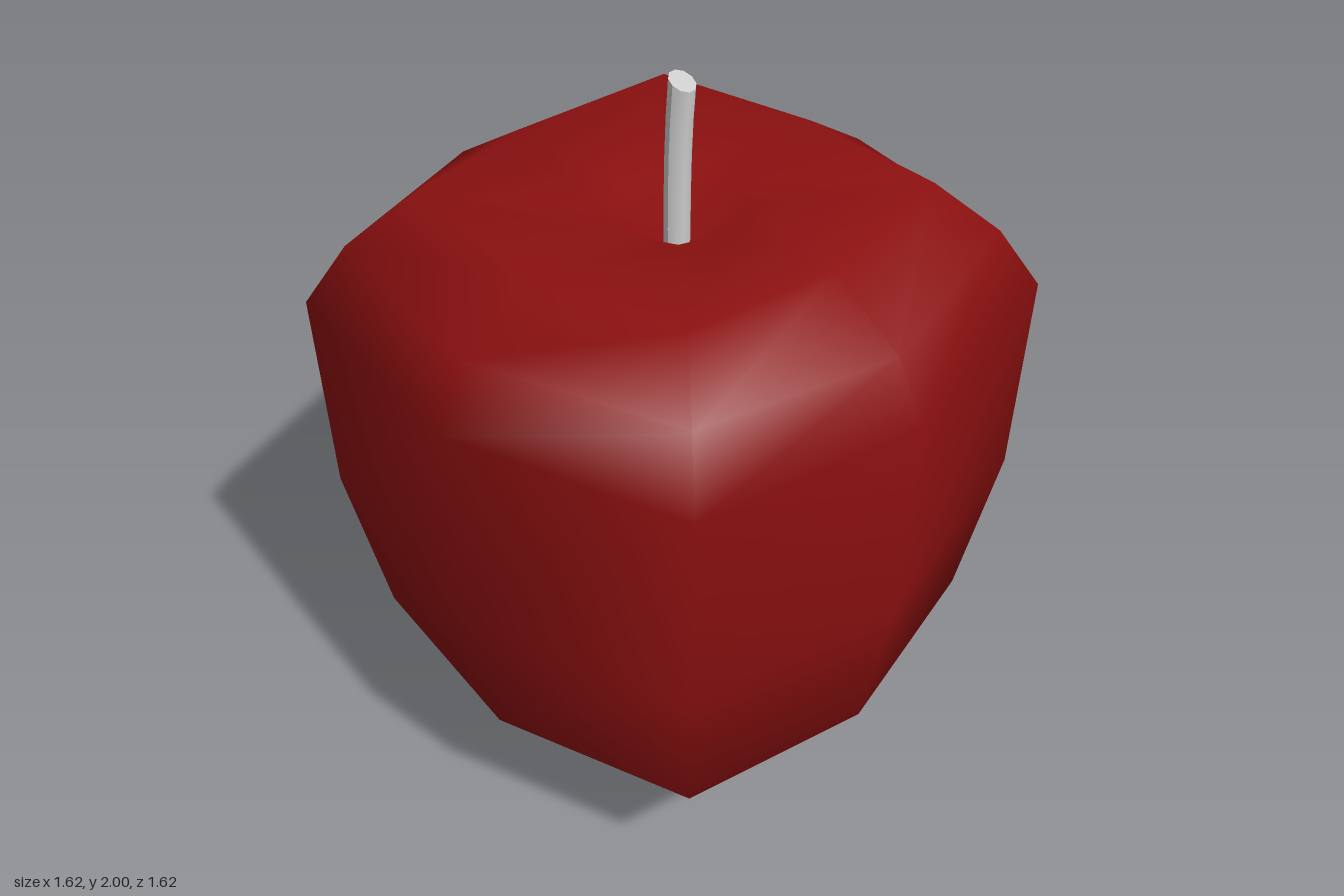
import * as THREE from 'three';

const SIDES = 8;

// Rings from the underside, up the flank and down into the stem pit.
// [reach on the axes, reach in x and z on the diagonals, y on axes, y on diagonals]
const RINGS = [
  [0, 0, 0.19, 0.19],
  [0.10, 0.085, 0.15, 0.03],
  [0.25, 0.26, 0.145, 0.03],
  [0.36, 0.37, 0.145, 0.17],
  [0.69, 0.56, 0.40, 0.40],
  [0.785, 0.635, 0.83, 0.83],
  [0.81, 0.655, 1.39, 1.39],
  [0.725, 0.575, 1.55, 1.55],
  [0.52, 0.45, 1.68, 1.69],
  [0.18, 0.13, 1.64, 1.64],
  [0, 0, 1.52, 1.52],
];

// Eight-sided fruit body with four small feet and a dimple on top
function bodyGeometry() {
  const pos = [], index = [];
  RINGS.forEach(([axis, diag, yAxis, yDiag], r) => {
    for (let i = 0; i < SIDES; i++) {
      const a = (i / SIDES) * Math.PI * 2;
      const odd = i % 2 === 1;
      const reach = odd ? diag * Math.SQRT2 : axis;
      let x = Math.sin(a) * reach, y = odd ? yDiag : yAxis, z = Math.cos(a) * reach;
      // slight irregularities: side corners sit forward, one foot is longer
      if (i % 4 === 2) z += 0.06 * axis;
      if (i % 4 === 0) x += 0.015 * axis;
      if (r === 3 && i === 0) z += 0.08;
      if (r === 2 && i === 5) { x += 0.02; y = 0; z += 0.02; }
      pos.push(x, y, z);
    }
  });
  const last = RINGS.length - 2;
  for (let r = 0; r <= last; r++) {
    for (let i = 0; i < SIDES; i++) {
      const j = (i + 1) % SIDES;
      // the centre points are single shared vertices
      const a = r === 0 ? 0 : r * SIDES + i, b = r === 0 ? 0 : r * SIDES + j;
      const top = (r + 1) * SIDES;
      const c = r === last ? top : top + j, d = r === last ? top : top + i;
      if (r > 0) index.push(a, b, c);
      if (r < last) index.push(a, c, d);
    }
  }
  const g = new THREE.BufferGeometry();
  g.setAttribute('position', new THREE.Float32BufferAttribute(pos, 3));
  g.setIndex(index);
  g.computeVertexNormals();
  return g;
}

// Thin stem that leans to one side and ends in a slanted cut
function stemGeometry() {
  const bottom = 1.5, height = 0.484;
  const g = new THREE.CylinderGeometry(0.034, 0.034, height, 10, 5);
  g.translate(0, bottom + height / 2, 0);
  const p = g.attributes.position;
  for (let i = 0; i < p.count; i++) {
    const x = p.getX(i), t = (p.getY(i) - bottom) / height;
    p.setY(i, p.getY(i) - x * 0.47 * t * t);
    p.setX(i, x + 0.008 + 0.016 * t * t * t);
  }
  g.computeVertexNormals();
  return g;
}

export function createModel() {
  const group = new THREE.Group();
  group.name = 'apple';
  const body = new THREE.Mesh(bodyGeometry(), new THREE.MeshStandardMaterial({ color: 0x8c1010 }));
  body.name = 'body';
  const stem = new THREE.Mesh(stemGeometry(), new THREE.MeshStandardMaterial({ color: 0xcccccc }));
  stem.name = 'stem';
  group.add(body, stem);
  return group;
}
